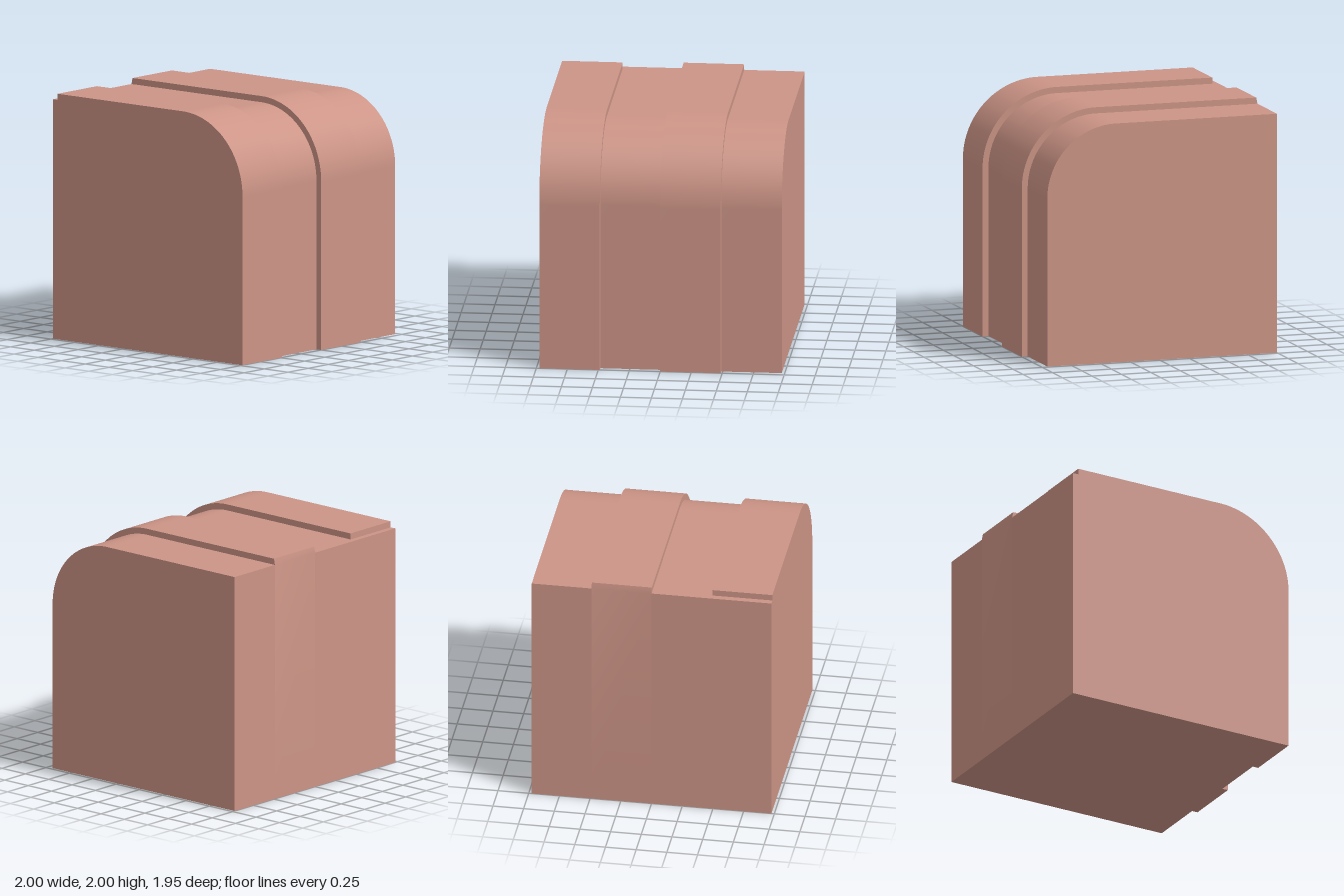
import * as THREE from 'three';
import { toCreasedNormals } from 'three/addons/utils/BufferGeometryUtils.js';

const DEPTH = 0.488; // thickness of each of the four slabs
const STEP = 0.05; // how far the raised slabs stand proud
const CENTER = { x: 0.37, y: 1.37 }; // shared centre of the rounded corners

// Slab outline: square block with a rounded upper corner on +x;
// topLeft lists the points that finish the upper corner on -x.
function slabGeometry(inset, topLeft) {
  const radius = 0.63 - inset;
  const shape = new THREE.Shape();
  shape.moveTo(-1, 0);
  shape.lineTo(1 - inset, 0);
  shape.lineTo(1 - inset, CENTER.y);
  shape.absarc(CENTER.x, CENTER.y, radius, 0, Math.PI / 2, false);
  topLeft.forEach(([x, y]) => shape.lineTo(x, y));
  shape.closePath();
  const geometry = new THREE.ExtrudeGeometry(shape, { depth: DEPTH, bevelEnabled: false, curveSegments: 32 });
  return toCreasedNormals(geometry, 0.4);
}

export function createModel() {
  const group = new THREE.Group();
  group.name = 'steppedBlock';
  const material = new THREE.MeshStandardMaterial({ color: 0xcc9486 });
  const low = 2 - STEP;

  // Slabs from front to back, alternately raised and recessed
  const slabs = [
    ['frontRaisedSlab', 0, [[-1 + STEP, 2], [-1 + STEP, low], [-1, low]]],
    ['frontRecessedSlab', STEP, [[-1, low]]],
    ['rearRaisedSlab', 0, [[-0.99, 2], [-1, low]]],
    ['rearRecessedSlab', STEP, [[-1, low]]],
  ];
  slabs.forEach(([name, inset, topLeft], i) => {
    const slab = new THREE.Mesh(slabGeometry(inset, topLeft), material);
    slab.name = name;
    slab.position.z = (1 - i) * DEPTH;
    group.add(slab);
  });
  return group;
}
